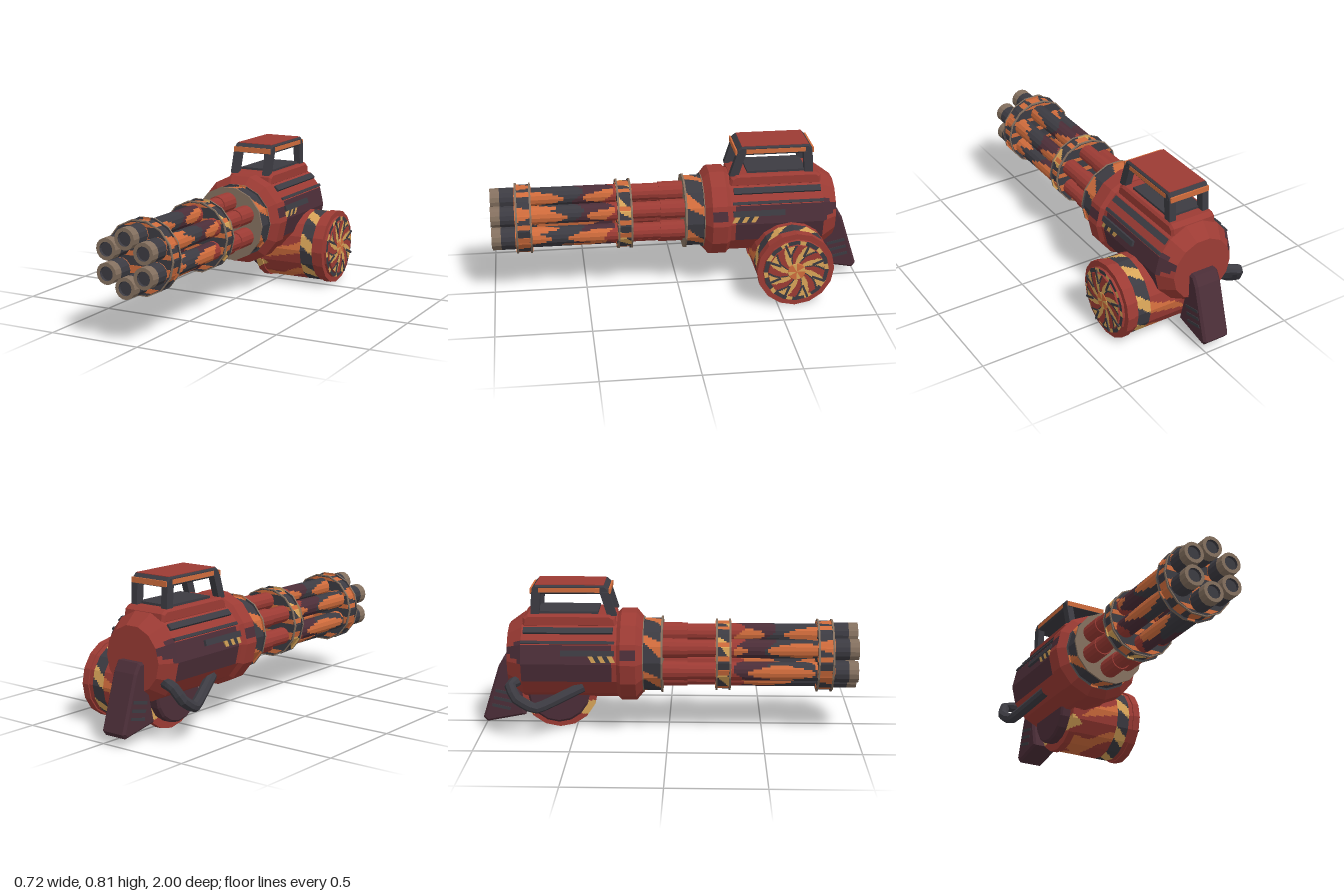
import * as THREE from 'three';

const paint = (name, color) => {
  const m = new THREE.MeshStandardMaterial({ color });
  m.name = name;
  return m;
};
const red = paint('brick red', 0x9c3b34);
const dark = paint('charcoal', 0x3c3b42);
const orange = paint('orange', 0xd06c3c);
const yellow = paint('ochre yellow', 0xd8a458);
const tan = paint('dull bronze', 0x84705f);
const purple = paint('dark plum', 0x4c2e38);

const AX = -0.063, AY = 0.405; // barrel axis
const fract = (v) => v - Math.floor(v);

// Faceted solid of revolution about z; pick(x, y, z) chooses the paint of each patch.
function turned(name, profile, sides, pick, sub = 1, step = 9) {
  const rows = [profile[0]];
  for (let i = 1; i < profile.length; i++) {
    const [z0, r0] = profile[i - 1], [z1, r1] = profile[i];
    const n = Math.max(1, Math.ceil(Math.hypot(z1 - z0, r1 - r0) / step));
    for (let k = 1; k <= n; k++) rows.push([z0 + (z1 - z0) * k / n, r0 + (r1 - r0) * k / n]);
  }
  const corner = (i) => new THREE.Vector2(Math.cos(i * 2 * Math.PI / sides), Math.sin(i * 2 * Math.PI / sides));
  const rim = (k) => corner(Math.floor(k / sub)).lerp(corner(Math.floor(k / sub) + 1), (k % sub) / sub);
  const buckets = new Map();
  for (let i = 1; i < rows.length; i++) {
    for (let k = 0; k < sides * sub; k++) {
      const p = rim(k), q = rim(k + 1);
      const [z0, r0] = rows[i - 1], [z1, r1] = rows[i];
      const a = [p.x * r0, p.y * r0, z0], b = [q.x * r0, q.y * r0, z0];
      const c = [q.x * r1, q.y * r1, z1], d = [p.x * r1, p.y * r1, z1];
      const mat = pick(...[0, 1, 2].map((j) => (a[j] + b[j] + c[j] + d[j]) / 4));
      if (!buckets.has(mat)) buckets.set(mat, []);
      if (r0 > 0) buckets.get(mat).push(...a, ...b, ...c);
      if (r1 > 0) buckets.get(mat).push(...a, ...c, ...d);
    }
  }
  const geo = new THREE.BufferGeometry(), pos = [];
  [...buckets.values()].forEach((list, i) => {
    geo.addGroup(pos.length / 3, list.length / 3, i);
    for (const v of list) pos.push(v);
  });
  geo.setAttribute('position', new THREE.Float32BufferAttribute(pos, 3));
  geo.computeVertexNormals();
  const mesh = new THREE.Mesh(geo, [...buckets.keys()]);
  mesh.name = name;
  return mesh;
}

function box(name, mat, size, at) {
  const mesh = new THREE.Mesh(new THREE.BoxGeometry(...size), mat);
  mesh.position.set(...at);
  mesh.name = name;
  return mesh;
}

const outlineShape = (points) => new THREE.Shape(points.map((p) => new THREE.Vector2(...p)));

// Side outline of [z, y] points given a width along x.
function slab(name, mat, outline, width, x, bevel = 0) {
  const geo = new THREE.ExtrudeGeometry(outlineShape(outline), {
    depth: width - 2 * bevel, bevelEnabled: bevel > 0, bevelSize: bevel, bevelThickness: bevel,
    bevelOffset: -bevel, bevelSegments: 1,
  });
  geo.translate(0, 0, bevel - width / 2);
  geo.rotateY(-Math.PI / 2);
  const mesh = new THREE.Mesh(geo, mat);
  mesh.position.x = x;
  mesh.name = name;
  return mesh;
}

// Clamp ring around the barrels: bronze lips, painted rim, plain or banded faces
function clampRing(name, z0, z1, r, stripe, skew, face) {
  const ring = new THREE.Group(), lip = 0.01;
  ring.name = name;
  ring.add(turned('ringShell', [[z0, 0], [z0, r - 0.006], [z0, r], [z0 + lip, r], [z0 + lip, r - 0.01],
    [z1 - lip, r - 0.01], [z1 - lip, r], [z1, r], [z1, r - 0.006], [z1, 0]], 14, (x, y, z) => {
    if (z < z0 + lip || z > z1 - lip) return Math.hypot(x, y) > r * 0.975 - 0.006 ? tan : face;
    const t = (z - z0) / (z1 - z0);
    const s = Math.abs(fract(6 * Math.atan2(y, x) / (2 * Math.PI) - skew * (t - 0.5)) - 0.5);
    return s < 0.1 + 0.13 * t ? stripe : dark;
  }, 8, 0.008));
  if (face !== dark) return ring;
  const R = (r - 0.006) * 0.972;
  for (const [lo, hi] of [[0.16, 0.178], [0.083, 0.103], [0.01, 0.035], [-0.078, -0.038], [-0.17, -0.146]]) {
    const a = Math.sqrt(Math.max(0, R * R - lo * lo)), b = Math.sqrt(Math.max(1e-4, R * R - hi * hi));
    const geo = new THREE.ExtrudeGeometry(outlineShape([[-a, lo], [a, lo], [b, hi], [-b, hi]]),
      { depth: z1 - z0 + 0.004, bevelEnabled: false });
    const band = new THREE.Mesh(geo, orange);
    band.position.z = z0 - 0.002;
    band.name = 'faceBand';
    ring.add(band);
  }
  return ring;
}

// Camouflage along a barrel: flames on its flanks, dark on top and below
function barrelPaint(seed) {
  return (x, y, z) => {
    if (Math.hypot(x, y) < 0.037) return dark;
    if (z > 0.95) return tan;
    if (z > 0.87) return dark;
    const a = Math.atan2(y, x), w = z + 0.03 * Math.sin(2 * a + seed);
    if (z < 0.3 || w < 0.37) return red;
    if (Math.abs(Math.cos(a)) > 0.84 + 0.2 * Math.sin(14 * z + seed)) return orange;
    const tip = Math.abs(Math.cos(a + 0.4)) * 0.045;
    if (seed > 0 && y > 0 && w > 0.67 && tip < (w - 0.66) * 0.3) return orange;
    return w > 0.54 ? dark : purple;
  };
}

function drumPaint(x, y, z) {
  const r = Math.hypot(x, y), turn = Math.atan2(y, x) / (2 * Math.PI);
  if (z < -0.086) return purple;
  if (z > 0.347) { // fan face
    if (r < 0.048) return fract(turn * 4) < 0.35 ? yellow : orange;
    if (r > 0.153) return z < 0.3481 && fract(turn * 10) < 0.35 ? yellow : dark;
    if (r > 0.149) return red;
    const s = fract(turn * 8 + r * 6);
    return s < 0.47 ? yellow : s < 0.88 ? red : dark;
  }
  if (z > 0.197 && z < 0.27) {
    const s = fract(7 * turn - 4.4 * z);
    return s > 0.05 && s < 0.44 ? yellow : dark;
  }
  if (z < 0.197) {
    const wob = 0.012 * Math.sin(z * 28);
    if (z > -0.045 && y > 0.2 * z - 0.055 && y < 0.5 * z - 0.035 + wob) return orange;
    const c = y - 0.2 * z + wob;
    if (z > -0.045 && c < -0.155 && c > -0.2) return orange;
    if (z < -0.015 && Math.abs(y + 0.095) < -0.015 - z * 0.5 + 0.01) return yellow;
  }
  return red;
}

export function createModel() {
  const model = new THREE.Group();
  const core = new THREE.Group();
  core.name = 'barrelAndBody';
  core.position.set(AX, AY, 0);
  model.add(core);

  // Body with collar and tapered rear cap
  core.add(turned('body', [[-0.85, 0], [-0.85, 0.17], [-0.77, 0.228], [-0.27, 0.228], [-0.25, 0.247],
    [-0.17, 0.247], [-0.135, 0.205], [-0.135, 0]], 14, (x, y, z) => {
    const side = Math.abs(x) > 0.16;
    if (side && z < -0.29 && z > -0.77 && Math.abs(y) < 0.1) return purple;
    if (side && z < -0.77 && Math.abs(y - 0.06) < 0.055 - (-0.77 - z) * 0.5) return purple;
    return side && z > -0.25 && z < -0.17 && Math.abs(y - 0.05) < 0.035 ? purple : red;
  }, 4, 0.025));

  // Long rails and a striped tag on each flank
  for (const s of [1, -1]) {
    for (const [deg, z0, z1, w] of [[15, -0.56, -0.28, 0.03], [29, -0.77, -0.28, 0.016], [46, -0.76, -0.29, 0.034]]) {
      const a = deg * Math.PI / 180;
      const rail = box('sideRail', dark, [0.028, w, z1 - z0], [s * 0.222 * Math.cos(a), 0.222 * Math.sin(a), (z0 + z1) / 2]);
      rail.rotation.z = s * a;
      core.add(rail);
    }
    for (let i = 0; i < 5; i++) {
      const z = -0.275 - i * 0.025;
      core.add(slab('flankTag', i % 2 ? dark : yellow,
        [[z - 0.025, 0.012], [z, 0.012], [z - 0.018, 0.045], [z - 0.043, 0.045]], 0.009, s * 0.225));
    }
  }

  // Six barrels
  const tube = [[-0.04, 0.052], [0.1, 0.052], [0.1, 0.046], [0.3, 0.046], [0.3, 0.05], [0.86, 0.05], [0.86, 0.056],
    [0.95, 0.056], [1, 0.056], [1, 0.037], [0.985, 0.036], [0.985, 0]];
  for (let i = 0; i < 6; i++) {
    const a = Math.PI / 2 + i * Math.PI / 3;
    const barrel = turned('barrel', tube, 14, barrelPaint(i * 1.3), 2, 0.015);
    barrel.position.set(0.122 * Math.cos(a), 0.122 * Math.sin(a), 0);
    core.add(barrel);
  }
  core.add(clampRing('frontRing', 0.785, 0.87, 0.194, orange, 0, dark));
  core.add(clampRing('middleRing', 0.25, 0.33, 0.192, yellow, 0.4, dark));
  core.add(clampRing('rearRing', -0.14, -0.03, 0.205, orange, 0.4, tan));

  // Ammunition drum lying across the body
  const drum = new THREE.Group();
  drum.name = 'drum';
  drum.position.set(0, 0.207, -0.59);
  drum.rotation.y = Math.PI / 2;
  drum.add(turned('drumShell', [[-0.14, 0], [-0.14, 0.155], [-0.13, 0.167], [-0.085, 0.167], [-0.085, 0.207], [-0.045, 0.207],
    [-0.045, 0.2], [0.197, 0.2], [0.27, 0.2], [0.295, 0.2], [0.295, 0.207], [0.335, 0.207], [0.335, 0.177], [0.348, 0.175],
    [0.348, 0.153], [0.357, 0.151], [0.357, 0.048], [0.36, 0.045], [0.36, 0]], 16, (x, y, z) =>
    (z > 0.3481 && z < 0.3569 ? red : drumPaint(x, y, z)), 8, 0.01));
  for (let i = 0; i < 8; i++) {
    const a = (i + 0.5) * Math.PI / 4;
    const spoke = box('fanSpoke', dark, [0.075, 0.012, 0.008], [0.128 * Math.cos(a), 0.128 * Math.sin(a), 0.357]);
    spoke.rotation.z = a;
    drum.add(spoke);
  }
  model.add(drum);

  // Carrying handle on a raised base
  const handle = new THREE.Group();
  handle.name = 'carryHandle';
  handle.add(slab('handleBase', red, [[-0.77, 0.58], [-0.27, 0.58], [-0.28, 0.63], [-0.31, 0.648], [-0.74, 0.648], [-0.765, 0.63]], 0.26, AX, 0.012));
  handle.add(box('basePlate', dark, [0.2, 0.02, 0.32], [AX, 0.65, -0.53]));
  handle.add(slab('handleTop', dark, [[-0.725, 0.755], [-0.305, 0.755], [-0.315, 0.785], [-0.335, 0.802], [-0.7, 0.802], [-0.715, 0.785]], 0.232, AX, 0.008));
  handle.add(box('topPlate', red, [0.212, 0.008, 0.36], [AX, 0.801, -0.518]));
  for (const s of [1, -1]) {
    const x = AX + s * 0.098;
    handle.add(slab('frontPost', dark, [[-0.32, 0.64], [-0.272, 0.64], [-0.312, 0.765], [-0.36, 0.765]], 0.038, x));
    handle.add(slab('rearPost', dark, [[-0.725, 0.64], [-0.68, 0.64], [-0.67, 0.765], [-0.718, 0.765]], 0.038, x));
    handle.add(box('handleSideTrim', orange, [0.006, 0.024, 0.32], [AX + s * 0.115, 0.777, -0.52]));
  }
  for (const z of [-0.308, -0.721]) handle.add(box('handleEndTrim', orange, [0.226, 0.028, 0.009], [AX, 0.771, z]));
  model.add(handle);

  // Rear grip with slots
  model.add(slab('rearGrip', purple, [[-0.77, 0.08], [-0.81, 0.25], [-0.82, 0.4], [-0.88, 0.4], [-0.91, 0.35], [-1, 0.065], [-0.98, 0.04]], 0.15, AX, 0.012));
  for (const s of [1, -1]) {
    for (let i = 0; i < 3; i++) {
      const slot = box('gripSlot', dark, [0.006, 0.016, 0.1], [AX + s * 0.075, 0.125 + i * 0.04, -0.9 + i * 0.01]);
      slot.rotation.x = 0.22;
      model.add(slot);
    }
  }

  // Feed hose on the opposite flank
  const path = new THREE.CatmullRomCurve3([[-0.2, 0.3, -0.78], [-0.305, 0.295, -0.825], [-0.332, 0.23, -0.79],
    [-0.325, 0.175, -0.7], [-0.305, 0.19, -0.64], [-0.235, 0.27, -0.45]].map((p) => new THREE.Vector3(...p)), false, 'catmullrom', 0.2);
  const hoseGeo = new THREE.TubeGeometry(path, 15, 0.029, 8).toNonIndexed();
  hoseGeo.computeVertexNormals();
  const hose = new THREE.Mesh(hoseGeo, dark);
  hose.name = 'feedHose';
  model.add(hose);

  return model;
}
